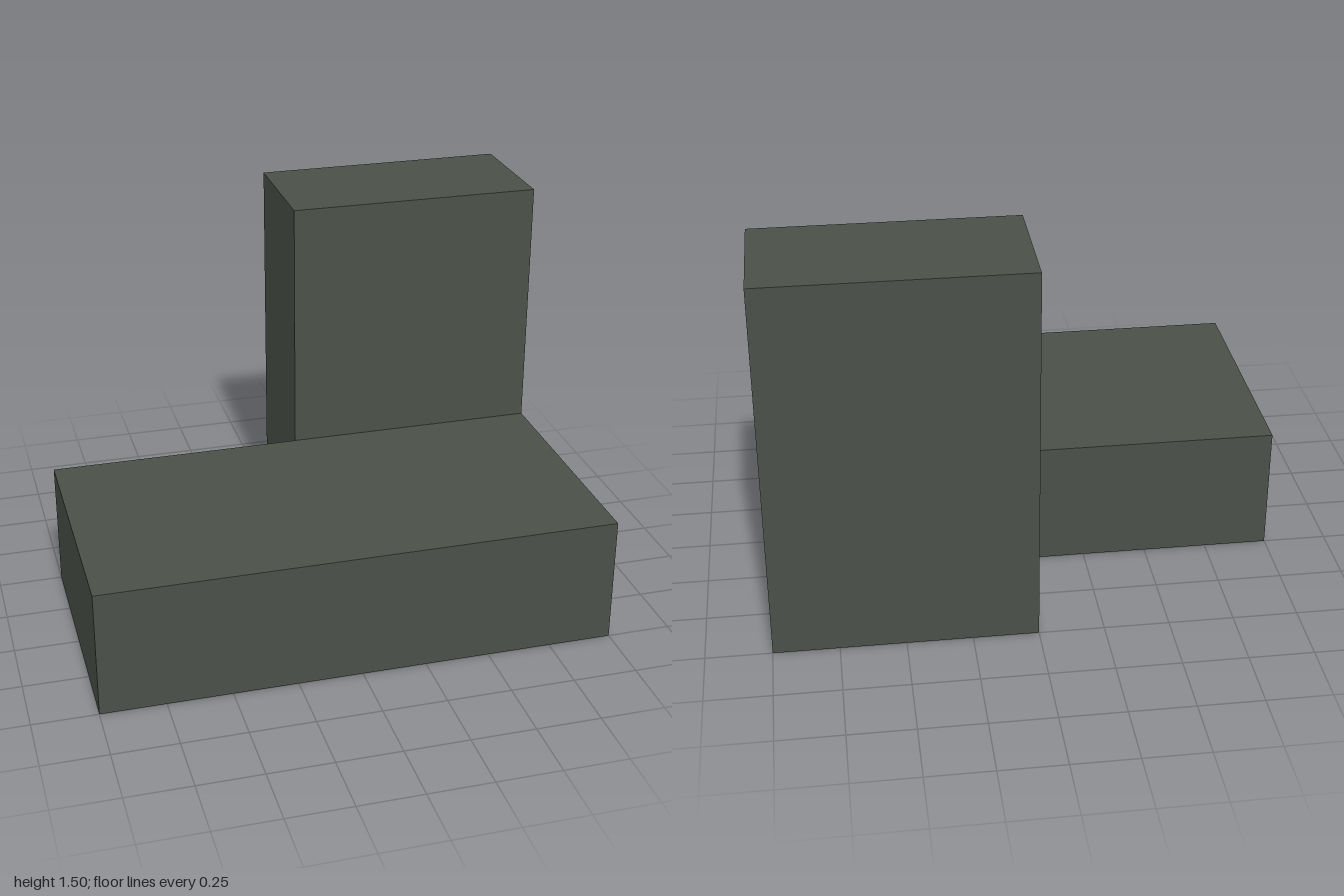
import * as THREE from 'three';

const material = new THREE.MeshStandardMaterial({ color: 0x4a5048, flatShading: true });

// Box spanning two opposite corners
function block(name, min, max) {
  const [w, h, d] = max.map((v, i) => v - min[i]);
  const mesh = new THREE.Mesh(new THREE.BoxGeometry(w, h, d), material);
  mesh.name = name;
  mesh.position.set(min[0] + w / 2, min[1] + h / 2, min[2] + d / 2);
  return mesh;
}

export function createModel() {
  const model = new THREE.Group();
  model.name = 'steppedBlock';

  // Low slab across the front
  model.add(block('baseSlab', [-1, 0, -0.25], [1, 0.5, 0.75]));

  // Tall upright behind the left half of the slab, reaching the ground
  model.add(block('uprightBlock', [0, 0, -0.75], [1, 1.5, -0.25]));

  return model;
}
